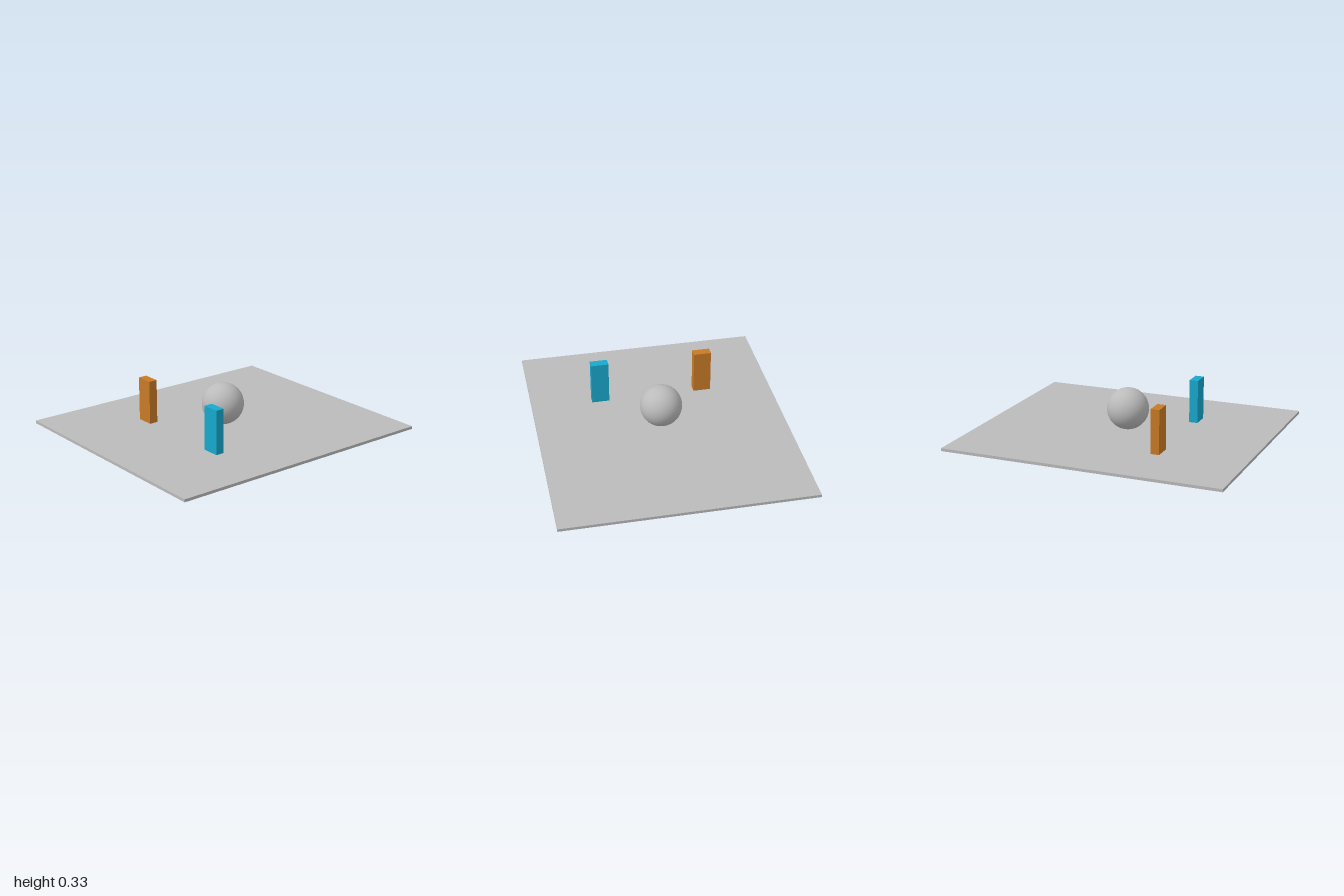
import * as THREE from 'three';

export function createModel() {
  const group = new THREE.Group();
  const material = (name, color) => {
    const m = new THREE.MeshStandardMaterial({ color });
    m.name = name;
    return m;
  };
  const grey = material('grey', 0xbbbbbb);
  const orange = material('orange', 0xc87a25);
  const blue = material('blue', 0x18a8cc);

  const add = (name, geometry, mat, x, y, z) => {
    const mesh = new THREE.Mesh(geometry, mat);
    mesh.name = name;
    mesh.position.set(x, y, z);
    group.add(mesh);
  };

  // Thin ground slab
  const slab = 0.02;
  add('floor', new THREE.BoxGeometry(1.75, slab, 2), grey, 0, slab / 2, 0);

  // Ball resting at the centre
  const radius = 0.148;
  add('ball', new THREE.SphereGeometry(radius, 48, 32), grey, 0, 0.172, 0);

  // Pair of upright blocks in front of the ball
  const height = 0.3125;
  const block = new THREE.BoxGeometry(0.125, height, 0.0625);
  add('rightBlock', block, orange, -0.375, slab + height / 2, 0.375);
  add('leftBlock', block, blue, 0.375, slab + height / 2, 0.375);

  return group;
}
